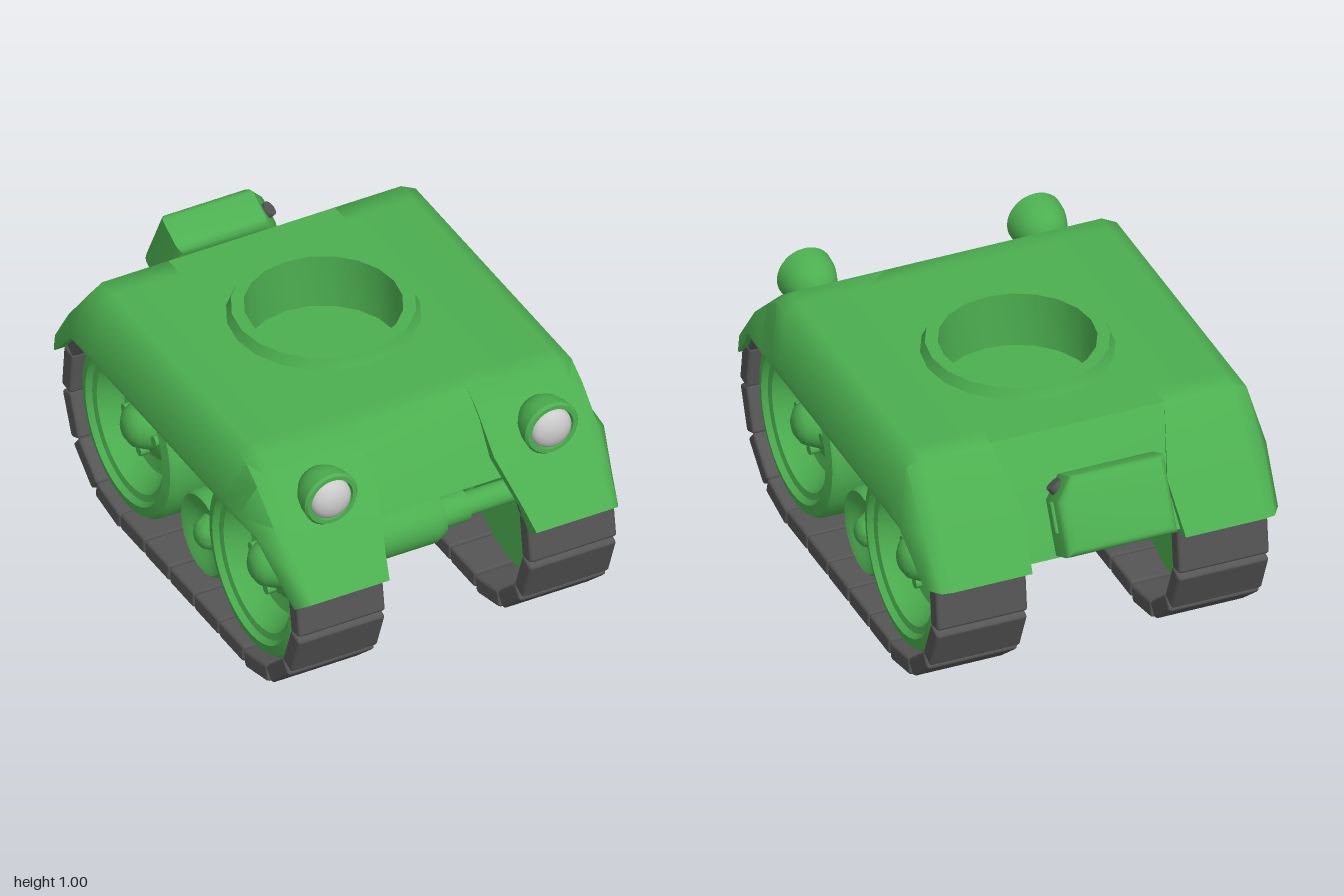
import * as THREE from 'three';
import { toCreasedNormals } from 'three/addons/utils/BufferGeometryUtils.js';
import { RoundedBoxGeometry } from 'three/addons/geometries/RoundedBoxGeometry.js';

const green = new THREE.MeshStandardMaterial({ color: 0x4caf50 });
const dark = new THREE.MeshStandardMaterial({ color: 0x555555 });
const grey = new THREE.MeshStandardMaterial({ color: 0xcccccc });
const V2 = (p) => p.map(([x, y]) => new THREE.Vector2(x, y));

function add(parent, name, geo, mat, x = 0, y = 0, z = 0) {
  const m = new THREE.Mesh(geo, mat);
  m.name = name;
  m.position.set(x, y, z);
  parent.add(m);
  return m;
}

// Turned part, smooth with sharp creases
const turned = (pts, seg = 32) => toCreasedNormals(new THREE.LatheGeometry(V2(pts), seg), 0.6);

// Side profile given as (z, y), extruded symmetrically across x
function across(profile, width, crease) {
  const g = new THREE.ExtrudeGeometry(new THREE.Shape(V2(profile)), { depth: width, bevelEnabled: false });
  return toCreasedNormals(g.translate(0, 0, -width / 2).rotateY(-Math.PI / 2), crease);
}

// Closed skin through rings of equal point count, capped at both ends
function loft(rings, flip) {
  const n = rings[0].length, idx = [];
  const tri = (a, b, c) => (flip ? idx.push(a, c, b) : idx.push(a, b, c));
  for (let i = 0; i < rings.length - 1; i++) {
    for (let j = 0; j < n; j++) {
      const a = i * n + j, b = i * n + (j + 1) % n;
      tri(a, b, b + n);
      tri(a, b + n, a + n);
    }
  }
  const e = (rings.length - 1) * n;
  for (let k = 1; k < n - 1; k++) {
    tri(0, k + 1, k);
    tri(e, e + k, e + k + 1);
  }
  const g = new THREE.BufferGeometry();
  g.setAttribute('position', new THREE.Float32BufferAttribute(rings.flat(2), 3));
  g.setIndex(idx);
  return toCreasedNormals(g, 0.95);
}

// Stations front to back: top z, top y, bottom z, bottom y, inner x, top half width, side half width
const STATIONS = [
  [1.0, 0.55, 0.945, 0.51, 0.3, 0.61, 0.66],
  [0.93, 0.63, 0.86, 0.595, 0.28, 0.61, 0.68],
  [0.8, 0.78, 0.745, 0.72, 0.235, 0.61, 0.71],
  [0.68, 0.9, 0.62, 0.72, 0.235, 0.61, 0.715],
  [0.6, 0.96, 0.5, 0.72, 0.235, 0.61, 0.715],
  [0.52, 0.96, 0.45, 0.72, 0.34, 0.61, 0.715],
  [-0.5, 0.96, -0.43, 0.72, 0.34, 0.61, 0.715],
  [-0.59, 0.96, -0.5, 0.72, 0.34, 0.61, 0.715],
  [-0.755, 0.74, -0.63, 0.72, 0.28, 0.61, 0.715],
  [-0.877, 0.56, -0.8, 0.55, 0.3, 0.61, 0.69],
];
// Hollow underneath, with a hanging outer lip
function fender(s) {
  const rings = STATIONS.map(([zt, yt, zb, yb, xi, wt, ws], i) => {
    const at = (x, t) => [s * x, yt + (yb - yt) * t, zt + (zb - zt) * t];
    const under = i === 0 || i === STATIONS.length - 1 ? 1 : 0.42;
    return [at(xi, under), at(xi, 0), at(wt, 0), at(wt + (ws - wt) * 0.52, 0.1), at(ws, 0.9), at(ws, 1),
      at(ws - 0.025, 1), at(ws - 0.04, under)];
  });
  return loft(rings, s < 0);
}

// Wheel profiles: radius, distance outward along the axle
const WHEEL = [[0, 0.44], [0.33, 0.44], [0.342, 0.452], [0.342, 0.59], [0.33, 0.61], [0.29, 0.62], [0.275, 0.6],
  [0.25, 0.595], [0.235, 0.56], [0.2, 0.51], [0.15, 0.5], [0.13, 0.52], [0.1, 0.53], [0.088, 0.56], [0.07, 0.595], [0.04, 0.615], [0, 0.62]];
const ROLLER = [[0, 0.44], [0.155, 0.44], [0.165, 0.45], [0.165, 0.545], [0.155, 0.56], [0.125, 0.55], [0.095, 0.53],
  [0.07, 0.525], [0.062, 0.54], [0.05, 0.565], [0.028, 0.58], [0, 0.585]];
const FRONT_Z = 0.544, REAR_Z = -0.41, AXLE_Y = 0.42;

function wheels(parent, s) {
  const spin = -s * Math.PI / 2;
  for (const z of [FRONT_Z, REAR_Z]) {
    add(parent, 'roadWheel', turned(WHEEL, 40), green, 0, AXLE_Y, z).rotation.z = spin;
    for (let i = 0; i < 4; i++) {
      const a = i * Math.PI / 2;
      add(parent, 'wheelBolt', new THREE.CylinderGeometry(0.021, 0.021, 0.06, 8), green,
        s * 0.53, AXLE_Y + 0.112 * Math.sin(a), z + 0.112 * Math.cos(a)).rotation.z = spin;
    }
  }
  add(parent, 'supportRoller', turned(ROLLER), green, 0, 0.24, 0.065).rotation.z = spin;
}

// Plates spaced evenly round a stadium path
function track(parent, s) {
  const r = 0.377, L = FRONT_Z - REAR_Z, arc = Math.PI * r, count = 23;
  const total = 2 * (L + arc);
  const geo = new RoundedBoxGeometry(0.355, 0.068, total / count - 0.004, 1, 0.012);
  for (let i = 0; i < count; i++) {
    let d = (i + 0.52) * total / count;
    const back = d < L + arc;
    if (!back) d -= L + arc;
    const a = Math.max(0, d - L) / r + (back ? 0 : Math.PI); // turn angle, 0 at the bottom run
    const run = Math.min(d, L);
    const z = (back ? FRONT_Z - run : REAR_Z + run) - r * Math.sin(a);
    add(parent, 'trackPlate', geo, dark, s * 0.4725, AXLE_Y - r * Math.cos(a), z).rotation.x = a;
  }
}

function headlight(parent, s) {
  const g = new THREE.Group();
  g.name = 'headlight';
  g.position.set(s * 0.45, 0.86, 0);
  add(g, 'lampHousing', turned([[0, 0.685], [0.04, 0.695], [0.07, 0.715], [0.092, 0.75], [0.104, 0.79], [0.108, 0.835],
    [0.1, 0.845], [0.085, 0.845], [0.083, 0.82], [0, 0.82]]), green).rotation.x = Math.PI / 2;
  add(g, 'lampLens', new THREE.SphereGeometry(0.08, 24, 16), grey, 0, 0, 0.83).scale.z = 0.6;
  parent.add(g);
}

function canister(parent) {
  const g = new THREE.Group();
  g.name = 'rearCanister';
  g.position.set(-0.005, 0.772, -0.868);
  g.rotation.x = 0.46;
  const b = 0.035, w = 0.215 - b, h = 0.145 - b;
  const shape = new THREE.Shape(V2([[-w, -h], [w, -h], [w, 0.05], [w - 0.045, h], [-w, h]]));
  const geo = new THREE.ExtrudeGeometry(shape, { depth: 0.1, bevelThickness: b, bevelSize: b, bevelSegments: 4 });
  add(g, 'canisterBody', toCreasedNormals(geo.translate(0, 0, -0.05), 0.8), green);
  const cap = add(g, 'canisterCap', new THREE.CylinderGeometry(0.03, 0.03, 0.05, 10), dark, 0.18, 0.1, 0.015);
  cap.rotation.z = -0.6;
  add(g, 'canisterHandle', new RoundedBoxGeometry(0.02, 0.12, 0.03, 2, 0.009), green, 0.216, 0.0, 0);
  parent.add(g);
}

// Support under the fender, tapering down and inward to the hull
function sideBracket() {
  const g = new THREE.BoxGeometry(1.1, 0.23, 0.38).toNonIndexed();
  const p = g.attributes.position;
  for (let i = 0; i < p.count; i++) {
    if (p.getY(i) < 0) p.setXYZ(i, p.getX(i) * 0.53, p.getY(i), p.getZ(i) * 0.71);
  }
  g.computeVertexNormals();
  return g;
}

export function createModel() {
  const model = new THREE.Group();
  model.name = 'trackedVehicle';
  const hull = new THREE.Group();
  hull.name = 'hull';
  model.add(hull);

  // Central hull, leaving a gap for the turret well
  const zf = 0.3, zr = -0.41, floor = 0.78, under = 0.86;
  add(hull, 'frontHull', across([[0.6, 0.96], [0.52, 0.96], [zf, 0.96], [zf, under], [0.56, under], [0.66, 0.69],
    [0.81, 0.69], [0.69, 0.88]], 0.68, 0.95), green);
  add(hull, 'rearHull', across([[zr, 0.96], [-0.5, 0.96], [-0.59, 0.96], [-0.735, 0.74], [-0.83, 0.57], [-0.78, 0.56],
    [-0.56, under], [zr, under]], 0.68, 0.95), green);
  add(hull, 'lowerHull', across([[0.8, 0.7], [0.6, 0.9], [zf, 0.9], [zf, floor - 0.01], [zr, floor - 0.01], [zr, 0.9],
    [-0.57, 0.9], [-0.8, 0.56], [-0.38, 0.315], [0.25, 0.315]], 0.53, 0.4), green);
  add(hull, 'sideBracket', sideBracket(), green, 0, 0.625, 0.06);

  // Deck plate with the turret hole
  const deck = new THREE.Shape(V2([[-0.34, -zf], [0.34, -zf], [0.34, -zr], [-0.34, -zr]]));
  deck.holes.push(new THREE.Path().absarc(0, 0.05, 0.3, 0, Math.PI * 2, true));
  const deckGeo = new THREE.ExtrudeGeometry(deck, { depth: 0.96 - under, bevelEnabled: false, curveSegments: 16 });
  add(hull, 'deckPlate', deckGeo.rotateX(-Math.PI / 2).translate(0, under, 0), green);
  const ring = turned([[0.355, 0.955], [0.342, 0.98], [0.335, 1.0], [0.288, 1.0], [0.288, floor], [0, floor]], 20);
  add(hull, 'turretRing', ring, green, 0, 0, -0.05);

  // Axles
  const half = [[0, 0.45], [0.045, 0.45], [0.045, 0.255], [0.06, 0.25], [0.06, 0.145], [0.085, 0.14], [0.1, 0.1]];
  const axle = [...half.map(([r, x]) => [r, -x]), ...[...half].reverse()];
  add(model, 'frontAxle', turned(axle, 24), green, 0, 0.4, FRONT_Z).rotation.z = Math.PI / 2;
  add(model, 'rearAxle', new THREE.CylinderGeometry(0.043, 0.043, 0.9, 16), green, 0, 0.4, REAR_Z).rotation.z = Math.PI / 2;

  for (const s of [1, -1]) {
    const side = new THREE.Group();
    side.name = s > 0 ? 'leftSide' : 'rightSide';
    add(side, 'fender', fender(s), green);
    wheels(side, s);
    track(side, s);
    headlight(side, s);
    model.add(side);
  }
  canister(model);
  return model;
}
